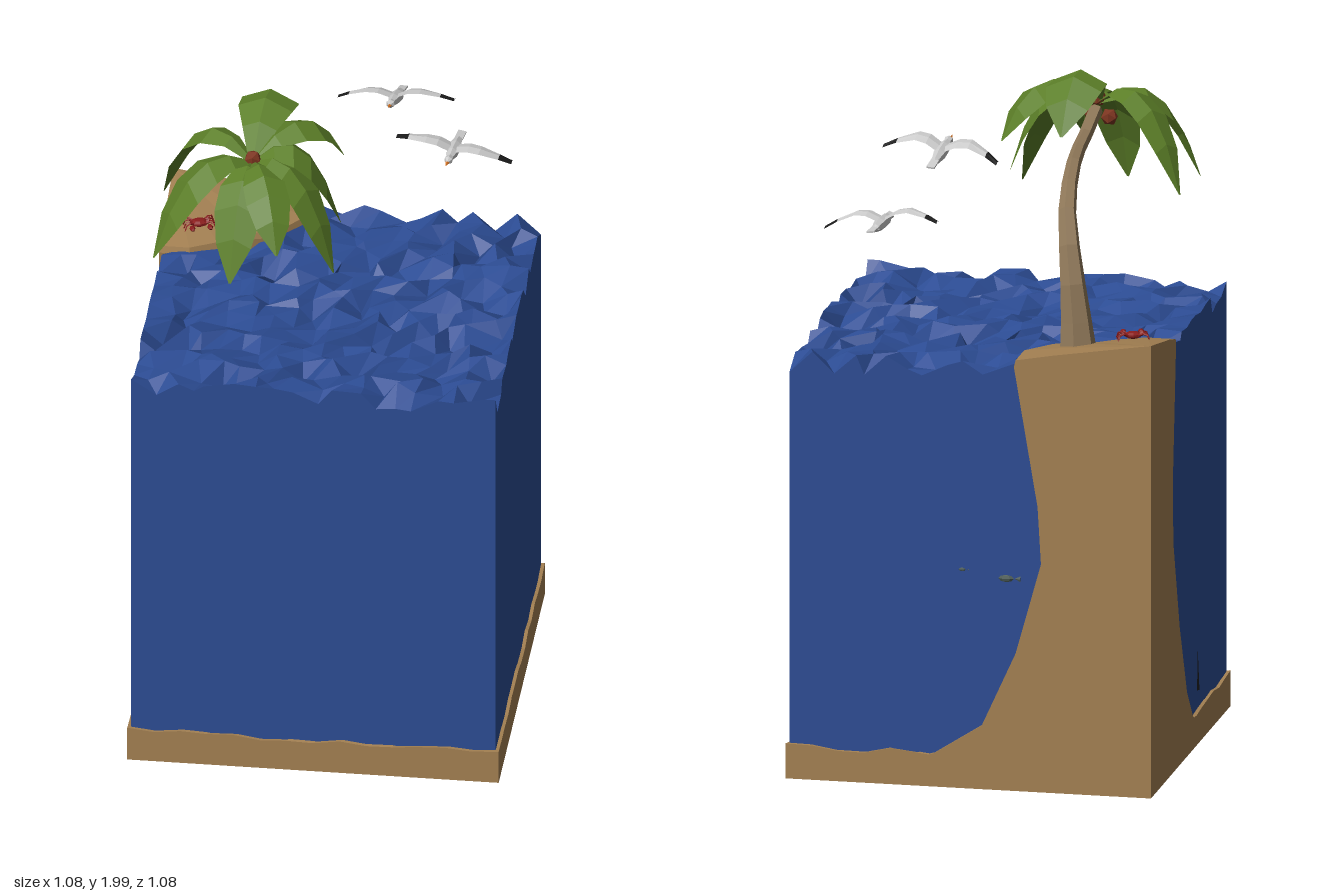
import * as THREE from 'three';

const mat = (color) => new THREE.MeshStandardMaterial({ color, flatShading: true, side: THREE.DoubleSide });
const SAND = mat(0xa38052), WATER = mat(0x2c4c94), BARK = mat(0x8f7859), LEAF = mat(0x5c7f28);
const RED = mat(0x8a1c1c), NUT = mat(0x7d3520), WHITE = mat(0xd8d8d8), BLACK = mat(0x1a1a1a);
const ORANGE = mat(0xe07a28), FISH = mat(0x4a5a55);

// Repeatable noise in 0..1 from a position
const noise = (x, z, k = 0) => {
  const s = Math.sin(x * 127.1 + z * 311.7 + k * 74.7) * 43758.5453;
  return s - Math.floor(s);
};

function add(parent, name, geo, material, pos = [0, 0, 0]) {
  const m = new THREE.Mesh(geo, material);
  m.name = name;
  m.position.set(...pos);
  parent.add(m);
  return m;
}

// Move every vertex by a rule that edits the vector
function warp(geo, rule) {
  const p = geo.attributes.position, v = new THREE.Vector3();
  for (let i = 0; i < p.count; i++) {
    v.fromBufferAttribute(p, i);
    rule(v, i);
    p.setXYZ(i, v.x, v.y, v.z);
  }
  geo.computeVertexNormals();
  return geo;
}

// Sheet whose vertices come from fn(u, v), both 0..1
const sheet = (nu, nv, fn) => warp(new THREE.PlaneGeometry(1, 1, nu, nv), (p) => p.copy(fn(p.x + 0.5, p.y + 0.5)));

// Skin over a stack of closed rings
function loft(rings) {
  const n = rings[0].length, index = [];
  for (let r = 0; r < rings.length - 1; r++) {
    for (let i = 0; i < n; i++) {
      const a = r * n + i, b = r * n + (i + 1) % n;
      index.push(a, a + n, b, b, a + n, b + n);
    }
  }
  const g = new THREE.BufferGeometry();
  g.setAttribute('position', new THREE.Float32BufferAttribute(rings.flat(2), 3));
  g.setIndex(index);
  g.computeVertexNormals();
  return g;
}

// Tapered tube through points, radius given by fn(t)
function taperedTube(points, sides, segs, radius) {
  const curve = new THREE.CatmullRomCurve3(points.map((p) => new THREE.Vector3(...p)));
  return warp(new THREE.TubeGeometry(curve, segs, 1, sides), (v, i) => {
    const t = Math.floor(i / (sides + 1)) / segs, c = curve.getPointAt(t);
    v.sub(c).multiplyScalar(radius(t)).add(c);
  });
}

function buildSeaBlock(root) {
  // Water cube with a choppy, jittered top
  const H = 0.53;
  const water = warp(new THREE.BoxGeometry(2 * H, 1.2, 2 * H, 18, 1, 18), (v) => {
    if (v.y < 0) { v.y = 0.05; return; }
    const x = Math.round(v.x * 1000), z = Math.round(v.z * 1000);
    const n = noise(x, z, 1);
    v.y = 1.275 - 0.065 * n * n;
    if (Math.abs(v.x) < H - 0.001) v.x += (noise(x, z, 2) - 0.5) * 0.05;
    if (Math.abs(v.z) < H - 0.001) v.z += (noise(x, z, 3) - 0.5) * 0.05;
  });
  add(root, 'water', water, WATER);

  // Sea bed with an uneven rim
  const bed = warp(new THREE.BoxGeometry(1.08, 0.1, 1.08, 14, 1, 14), (v) => {
    v.y = v.y < 0 ? 0 : 0.088 + 0.02 * noise(Math.round(v.x * 1000), Math.round(v.z * 1000), 4);
  });
  add(root, 'seaBed', bed, SAND);

  // Sand column in the back corner, rising to the island: [height, x reach, z reach]
  const outline = [[0, 0], [1, 0], [1, 0.35], [0.83, 0.62], [0.59, 0.7], [0.41, 0.88], [0.22, 1], [0, 1]];
  const levels = [[0.07, 0.2, 0.09], [0.1, 0.1, 0.03], [0.19, -0.04, -0.05], [0.41, -0.14, -0.15],
    [0.68, -0.215, -0.235], [0.85, -0.205, -0.245], [1.265, -0.135, -0.2], [1.285, -0.14, -0.205],
    [1.305, -0.25, -0.29], [1.35, -0.54, -0.54]];
  const rings = levels.map(([y, xe, ze]) =>
    outline.map(([u, w]) => [-0.54 + u * (xe + 0.54), y, -0.54 + w * (ze + 0.54)]));
  add(root, 'sandIsland', loft(rings), SAND);
}

function buildPalm(root) {
  const palm = new THREE.Group();
  palm.name = 'palmTree';
  root.add(palm);
  const trunk = taperedTube([[-0.295, 1.26, -0.395], [-0.285, 1.38, -0.385], [-0.265, 1.53, -0.36],
    [-0.235, 1.67, -0.275], [-0.21, 1.765, -0.06], [-0.2, 1.78, 0.1], [-0.21, 1.84, 0.23]],
  6, 9, (t) => 0.02 + 0.038 * Math.pow(1 - t, 3));
  add(palm, 'trunk', trunk, BARK);

  // Arched fronds: [tip, height of the arch control, half width]
  const crown = new THREE.Vector3(-0.21, 1.86, 0.25);
  const fronds = [
    [[-0.17, 1.83, -0.06], 2.14, 0.085], [[-0.49, 1.64, 0.08], 2.05, 0.06],
    [[-0.48, 1.61, 0.41], 2.0, 0.075], [[-0.25, 1.58, 0.48], 1.94, 0.07],
    [[-0.11, 1.7, 0.51], 1.96, 0.065], [[0.04, 1.58, 0.38], 1.99, 0.065],
    [[0.04, 1.65, 0.21], 2.03, 0.075], [[0.03, 1.78, 0.05], 2.06, 0.07],
  ];
  for (const [tip, top, half] of fronds) {
    const end = new THREE.Vector3(...tip);
    const mid = crown.clone().lerp(end, 0.62).setY(top);
    const spine = new THREE.QuadraticBezierCurve3(crown, mid, end);
    const side = new THREE.Vector3(end.z - crown.z, 0, crown.x - end.x).normalize();
    const widths = [0.15, 0.6, 0.95, 1, 0.75, 0.04];
    add(palm, 'frond', sheet(2, 5, (u, t) => {
      const w = half * widths[Math.round(t * 5)], s = u * 2 - 1;
      const p = spine.getPoint(t).addScaledVector(side, s * w);
      p.y -= Math.abs(s) * w * 0.45;
      return p;
    }), LEAF);
  }
  for (const p of [[-0.21, 1.87, 0.255], [-0.245, 1.815, 0.25], [-0.19, 1.82, 0.27]])
    add(palm, 'coconut', new THREE.IcosahedronGeometry(0.026), NUT, p);
}

function buildGull(root, pos, roll, pitch) {
  const gull = new THREE.Group();
  gull.name = 'gull';
  gull.position.set(...pos);
  gull.rotation.set(pitch, -0.1, roll);
  root.add(gull);
  // Body runs along z, beak forward
  const profile = [[0, -0.07], [0.012, -0.06], [0.019, -0.02], [0.018, 0.025], [0.011, 0.055], [0.013, 0.072], [0, 0.088]]
    .map(([r, y]) => new THREE.Vector2(r, y));
  add(gull, 'body', new THREE.LatheGeometry(profile, 6).rotateX(Math.PI / 2), WHITE);
  add(gull, 'beak', new THREE.ConeGeometry(0.006, 0.025, 4).rotateX(Math.PI / 2), ORANGE, [0, -0.002, 0.094]);
  add(gull, 'tail', new THREE.BoxGeometry(0.024, 0.005, 0.05), WHITE, [0, 0.003, -0.083]);
  // Wing stations: [span, lift, leading z, trailing z]
  const stations = [[0.008, 0.008, 0.035, -0.02], [0.045, 0.024, 0.046, -0.012], [0.08, 0.026, 0.048, -0.006],
    [0.135, 0.01, 0.022, -0.012], [0.172, -0.006, 0.002, -0.022]];
  const panel = (sx, list) => sheet(list.length - 1, 2, (u, v) => {
    const [x, y, a, b] = list[Math.round(u * (list.length - 1))];
    return new THREE.Vector3(sx * x, y + (v === 0.5 ? 0.005 : 0), a + (b - a) * v);
  });
  for (const sx of [-1, 1]) {
    add(gull, 'wing', panel(sx, stations.slice(0, 4)), WHITE);
    add(gull, 'wingTip', panel(sx, stations.slice(3)), BLACK);
  }
}

function buildCrab(root) {
  const crab = new THREE.Group();
  crab.name = 'crab';
  crab.position.set(-0.435, 1.316, -0.3);
  crab.rotation.y = 0.3;
  root.add(crab);
  add(crab, 'shell', new THREE.SphereGeometry(0.027, 8, 5).scale(1, 0.4, 0.8), RED);
  for (const s of [-1, 1]) {
    for (let i = 0; i < 4; i++) {
      const z = -0.02 + i * 0.012;
      add(crab, 'leg', taperedTube([[s * 0.015, 0, z * 0.6], [s * 0.036, 0.008, z * 1.2], [s * 0.046, -0.012, z * 1.6]],
        4, 3, (t) => 0.004 - 0.002 * t), RED);
    }
    add(crab, 'claw', new THREE.SphereGeometry(0.011, 6, 4).scale(0.8, 0.6, 1.3), RED, [s * 0.026, 0.002, 0.036]);
  }
}

function buildSeaLife(root) {
  // Small fish just breaking the rear wall of the water
  for (const [x, y, s] of [[-0.11, 0.63, 1], [0.02, 0.65, 0.5]]) {
    const fish = new THREE.Group();
    fish.name = 'fish';
    fish.position.set(x, y, -0.529);
    fish.scale.setScalar(s);
    root.add(fish);
    add(fish, 'fishBody', new THREE.SphereGeometry(0.025, 6, 4).scale(1, 0.45, 0.3), FISH);
    add(fish, 'fishTail', new THREE.ConeGeometry(0.012, 0.024, 4).rotateZ(-Math.PI / 2).scale(1, 1, 0.3), FISH, [-0.03, 0, 0]);
  }
  // Weed blade at the side wall
  add(root, 'seaweed', new THREE.ConeGeometry(0.01, 0.12, 4).scale(0.5, 1, 1), BLACK, [-0.53, 0.21, 0.14]);
}

export function createModel() {
  const root = new THREE.Group();
  root.name = 'islandDiorama';
  buildSeaBlock(root);
  buildPalm(root);
  buildGull(root, [0.145, 1.815, -0.235], 0.06, -0.25);
  buildGull(root, [0.305, 1.612, -0.305], -0.13, -0.05);
  buildCrab(root);
  buildSeaLife(root);
  return root;
}
